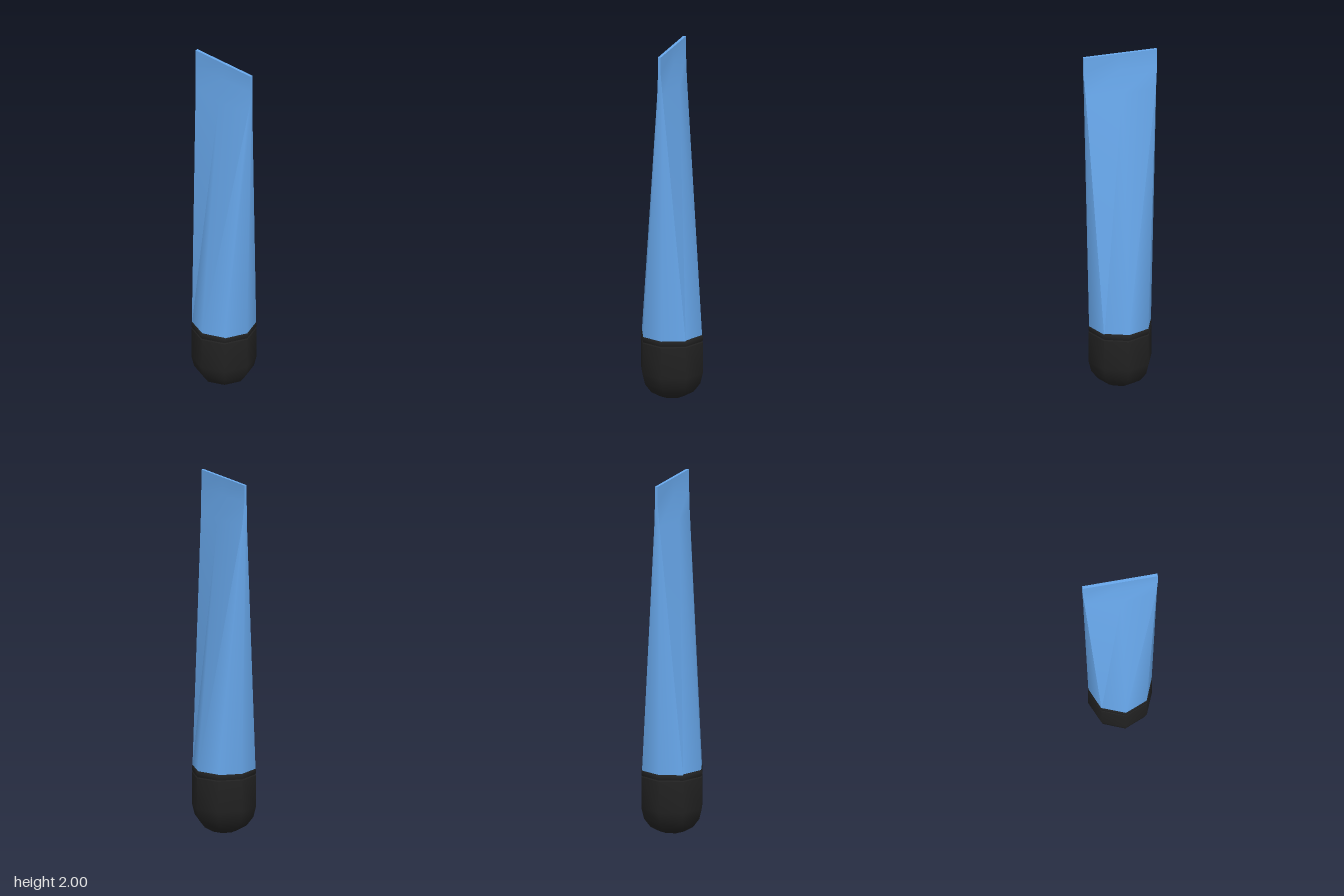
import * as THREE from 'three';
import { toCreasedNormals } from 'three/addons/utils/BufferGeometryUtils.js';

const CREASE = 0.9;

// Skin eight-sided rings from bottom to top, closing both ends
function loft(rings) {
  const n = rings[0].length, pos = rings.flat(2), index = [];
  for (let r = 0; r < rings.length - 1; r++) {
    for (let i = 0; i < n; i++) {
      const a = r * n + i, b = r * n + (i + 1) % n;
      index.push(a, b, b + n, a, b + n, a + n);
    }
  }
  const top = (rings.length - 1) * n;
  for (let i = 1; i < n - 1; i++) {
    index.push(0, i + 1, i, top, top + i, top + i + 1);
  }
  const g = new THREE.BufferGeometry();
  g.setAttribute('position', new THREE.Float32BufferAttribute(pos, 3));
  g.setIndex(index);
  return toCreasedNormals(g, CREASE);
}

// Octagon section: side point, diagonal point and middle point, mirrored
const section = ([y, side, dx, dz, mid]) => [
  [0, y, mid], [dx, y, dz], [side, y, 0], [dx, y, -dz],
  [0, y, -mid], [-dx, y, -dz], [-side, y, 0], [-dx, y, dz],
];

export function createModel() {
  const model = new THREE.Group();
  model.name = 'squeezeTube';

  // Tube body flattening into the crimped strip at the top
  const body = new THREE.Mesh(
    loft([
      [0.35, 0.175, 0.124, 0.124, 0.175],
      [1.77, 0.205, 0.199, 0.016, 0.043],
      [1.9, 0.208, 0.208, 0.008, 0.008],
      [2.0, 0.208, 0.208, 0.008, 0.008],
    ].map(section)),
    new THREE.MeshStandardMaterial({ color: 0x68a8ec })
  );
  body.name = 'tubeBody';
  model.add(body);

  // Rounded screw cap with a shallow groove below its rim
  const profile = [
    [0, 0], [0.07, 0.014], [0.125, 0.045], [0.163, 0.095], [0.178, 0.155],
    [0.178, 0.33], [0.174, 0.336], [0.178, 0.343], [0.178, 0.363], [0.173, 0.372], [0, 0.372],
  ].map(([x, y]) => new THREE.Vector2(x, y));
  const cap = new THREE.Mesh(
    toCreasedNormals(new THREE.LatheGeometry(profile, 8), CREASE),
    new THREE.MeshStandardMaterial({ color: 0x222222 })
  );
  cap.name = 'cap';
  model.add(cap);

  return model;
}
